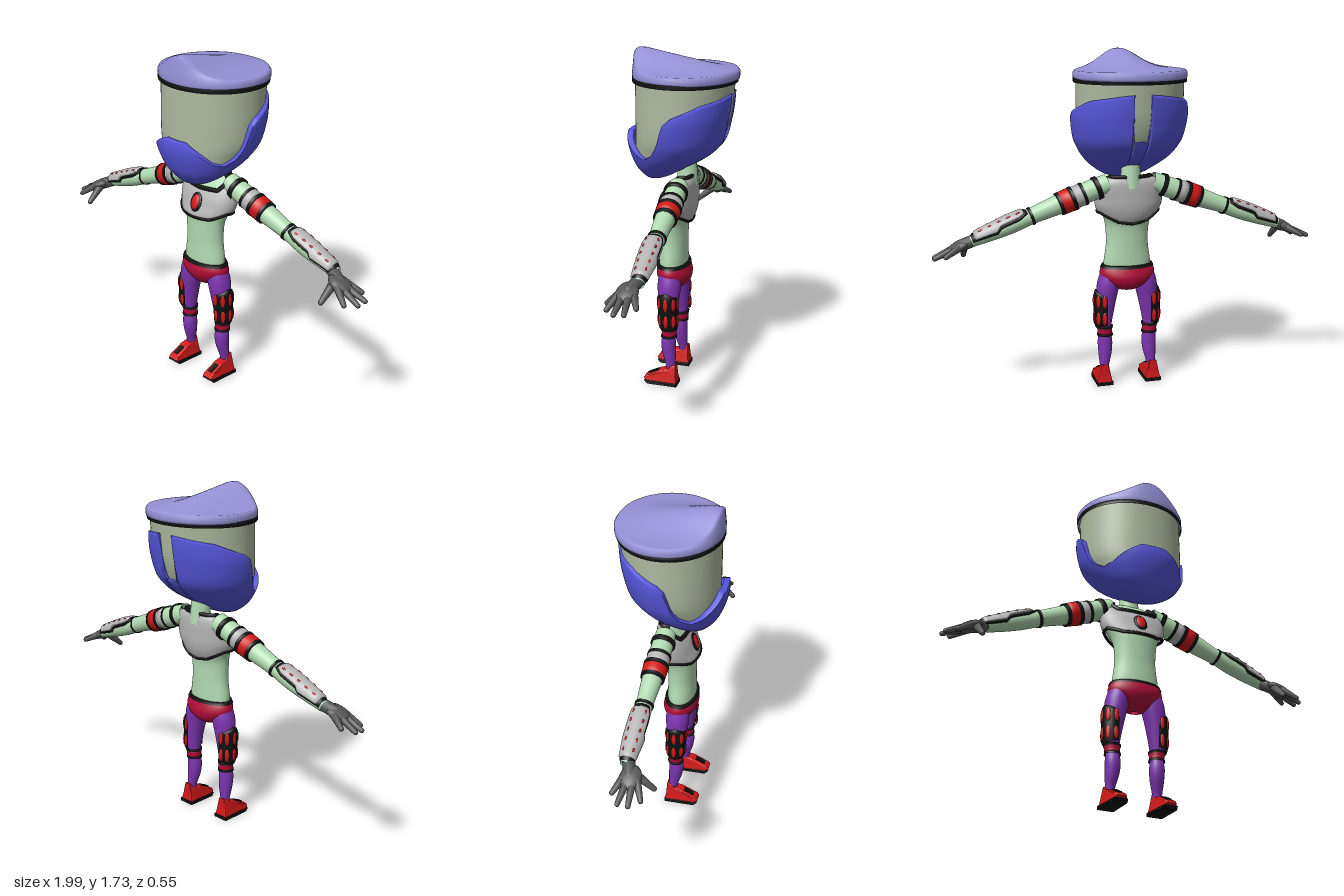
import * as THREE from 'three';

const C = { skin: 0xb2dab2, visor: 0xaeba9f, lid: 0x9591d6, blue: 0x5656dc, black: 0x101010, grey: 0xb4b4b4,
  red: 0xd01818, crimson: 0xb00d38, purple: 0x7c34b0, glove: 0x565656 };
const rad = Math.PI / 180;

function mesh(parent, name, geometry, color) {
  const m = new THREE.Mesh(geometry, new THREE.MeshStandardMaterial({ color, side: THREE.DoubleSide }));
  m.name = name;
  parent.add(m);
  return m;
}

// Smooth interpolation of table rows [t, ...values]
function sample(table, t) {
  const n = table.length - 1;
  if (t <= table[0][0]) return table[0].slice(1);
  if (t >= table[n][0]) return table[n].slice(1);
  let i = 0;
  while (table[i + 1][0] < t) i++;
  const p = table[i], q = table[i + 1], h = q[0] - p[0], u = (t - p[0]) / h;
  const slope = (k, c) => {
    const a = table[Math.max(k - 1, 0)], b = table[Math.min(k + 1, n)];
    return (b[c] - a[c]) / (b[0] - a[0]);
  };
  return p.slice(1).map((v, k) => {
    const c = k + 1;
    return v * (1 + 2 * u) * (1 - u) ** 2 + q[c] * u * u * (3 - 2 * u)
      + h * (u * (1 - u) ** 2 * slope(i, c) + u * u * (u - 1) * slope(i + 1, c));
  });
}

function linear(table, t) {
  let i = 0;
  while (i < table.length - 2 && table[i + 1][0] < t) i++;
  const [a, b] = [table[i], table[i + 1]];
  return THREE.MathUtils.lerp(a[1], b[1], THREE.MathUtils.clamp((t - a[0]) / (b[0] - a[0]), 0, 1));
}

// Grid surface: columns run around, rows run upward
function surface(point, n, m, closed) {
  const pos = [], index = [], cols = closed ? n : n + 1;
  for (let j = 0; j <= m; j++) for (let i = 0; i < cols; i++) pos.push(...point(i / n, j / m, j));
  for (let j = 0; j < m; j++) for (let i = 0; i < n; i++) {
    const k = (i + 1) % cols, a = j * cols + i, b = j * cols + k;
    index.push(a, b, b + cols, a, b + cols, a + cols);
  }
  const g = new THREE.BufferGeometry();
  g.setAttribute('position', new THREE.Float32BufferAttribute(pos, 3));
  g.setIndex(index);
  g.computeVertexNormals();
  return g;
}

// Point on a body of sections [y, zFront, zBack, halfWidth, centreX]; angle 0 is the front, 90 is +x
function on(sections, deg, y, grow = 0) {
  const [zf, zb, w, cx = 0] = sample(sections, y), a = deg * rad;
  return [cx + (w + grow) * Math.sin(a), y, (zf + zb) / 2 + ((zf - zb) / 2 + grow) * Math.cos(a)];
}

// Shell over the sections between two heights, which may vary with the angle
function shell(sections, bottom, top, { grow = 0, from = 0, to = 360, n = 48, m = 20, lip = 0 } = {}) {
  const f = (v, a) => (typeof v === 'function' ? v(a) : v);
  const rows = m + (lip ? 1 : 0);
  return surface((u, v, j) => {
    const a = from + (to - from) * u, y0 = f(bottom, a), y1 = f(top, a);
    return on(sections, a, y0 + (y1 - y0) * Math.min(j / m, 1), j > m ? grow - lip : grow);
  }, n, rows, to - from === 360);
}

// Round cord along the edge of a shell
function cord(sections, height, r, grow = 0) {
  const pts = [];
  for (let a = 0; a < 360; a += 5) pts.push(new THREE.Vector3(...on(sections, a, height(a), grow)));
  return new THREE.TubeGeometry(new THREE.CatmullRomCurve3(pts, true), 120, r, 6, true);
}

// Tapered limb with a round tip
function limb(parent, name, p, q, r0, r1, color) {
  const a = new THREE.Vector3(...p), d = new THREE.Vector3(...q).sub(a), L = d.length();
  const pts = [new THREE.Vector2(0, -r0 * 0.5), new THREE.Vector2(r0, 0)];
  for (let i = 0; i <= 5; i++) pts.push(new THREE.Vector2(r1 * Math.cos(i * 18 * rad), L + r1 * Math.sin(i * 18 * rad)));
  const m = mesh(parent, name, new THREE.LatheGeometry(pts, 14), color);
  m.position.copy(a);
  m.quaternion.setFromUnitVectors(new THREE.Vector3(0, 1, 0), d.normalize());
  return m;
}

// Flattened stud lying on a surface and facing the given angle
function stud(parent, name, pos, deg, size, color) {
  const m = mesh(parent, name, new THREE.SphereGeometry(1, 14, 10), color);
  m.position.set(...pos);
  m.rotation.y = deg * rad;
  m.scale.set(...size);
  return m;
}

function buildHelmet(root) {
  const g = new THREE.Group();
  g.name = 'helmet';
  root.add(g);
  const visor = [[1.18, 0.2, -0.04, 0.16], [1.2, 0.23, -0.1, 0.205], [1.25, 0.235, -0.165, 0.238], [1.3, 0.235, -0.2, 0.26],
    [1.4, 0.235, -0.232, 0.27], [1.5, 0.235, -0.245, 0.27], [1.6, 0.235, -0.255, 0.27]];
  const bowl = [[1.075, 0.142, 0.138, 0.002], [1.085, 0.175, 0.1, 0.055], [1.1, 0.195, 0.06, 0.1], [1.15, 0.235, -0.03, 0.175],
    [1.2, 0.257, -0.12, 0.225], [1.25, 0.272, -0.18, 0.258], [1.3, 0.277, -0.215, 0.28], [1.4, 0.262, -0.24, 0.297],
    [1.46, 0.25, -0.25, 0.293], [1.53, 0.24, -0.256, 0.28]];
  const edge = [[0, 1.325], [14, 1.325], [36, 1.27], [50, 1.235], [66, 1.22], [77, 1.25], [82, 1.3], [85, 1.41], [92, 1.44],
    [125, 1.5], [160, 1.525], [171, 1.53], [172.5, 1.3], [180, 1.3]];
  mesh(g, 'visor', shell(visor, 1.18, 1.6, { n: 64 }), C.visor);
  mesh(g, 'bowl', shell(bowl, 1.075, (a) => linear(edge, a > 180 ? 360 - a : a), { n: 240, m: 30, lip: 0.03 }), C.blue);
  mesh(g, 'lidSeal', shell(visor, 1.578, 1.6, { grow: 0.014, m: 2, lip: 0.02 }), C.black);

  // Lid rising to a peak near the front
  const rim = [[0.9, 1.59], [0.99, 1.594], [1, 1.605], [1, 1.625]];
  mesh(g, 'lid', surface((u, v, j) => {
    const a = u * 360 * rad;
    const k = j < 4 ? rim[j][0] : 0.97 * (1 - (j - 4) / 20);
    const x = 0.285 * k * Math.sin(a), z = -0.013 + 0.262 * k * Math.cos(a);
    const peak = 0.095 * Math.exp(-((x / 0.13) ** 2)) * THREE.MathUtils.clamp((z + 0.27) / 0.46, 0, 1);
    const roll = j === 4 ? 0.9 : 1;
    return [x, j < 4 ? rim[j][1] : 1.636 + peak * roll, z];
  }, 72, 24, true), C.lid);
}

function buildBody(root) {
  const torso = [[0.6, 0.12, -0.02, 0.12], [0.65, 0.122, -0.02, 0.123], [0.75, 0.12, -0.02, 0.11], [0.85, 0.122, -0.025, 0.115],
    [0.9, 0.122, -0.045, 0.13], [0.95, 0.108, -0.058, 0.155], [1.0, 0.09, -0.06, 0.162], [1.05, 0.06, -0.06, 0.158],
    [1.09, 0.03, -0.05, 0.12], [1.11, 0, -0.035, 0.03]];
  const vest = [[0.85, 0.13, -0.035, 0.12], [0.9, 0.137, -0.06, 0.148], [0.95, 0.12, -0.07, 0.172], [1.0, 0.102, -0.071, 0.177],
    [1.05, 0.073, -0.07, 0.172], [1.085, 0.045, -0.065, 0.15], [1.11, 0.015, -0.05, 0.09]];
  const pelvis = [[0.5, 0.06, 0.03, 0.02], [0.51, 0.09, 0, 0.055], [0.54, 0.118, -0.033, 0.105], [0.575, 0.134, -0.042, 0.138],
    [0.605, 0.135, -0.036, 0.144], [0.64, 0.126, -0.024, 0.129]];
  mesh(root, 'torso', shell(torso, 0.6, 1.11, { m: 36 }), C.skin);
  mesh(root, 'neck', new THREE.CylinderGeometry(0.042, 0.055, 0.18, 20), C.skin).position.set(0, 1.14, -0.02);
  mesh(root, 'pelvis', shell(pelvis, 0.5, 0.64), C.crimson);
  mesh(root, 'belt', shell(pelvis, 0.625, 0.64, { grow: 0.005, m: 2, lip: 0.02 }), C.black);

  const fold = (a) => Math.abs(a > 180 ? a - 360 : a);
  const hem = (a) => linear([[0, 0.892], [40, 0.895], [75, 0.925], [110, 0.92], [150, 0.875], [180, 0.865]], fold(a));
  const neckline = (a) => linear([[0, 1.035], [35, 1.04], [55, 1.085], [70, 1.105], [180, 1.105]], fold(a));
  mesh(root, 'vest', shell(vest, hem, neckline, { n: 72, lip: 0.02 }), C.grey);
  mesh(root, 'vestHem', cord(vest, hem, 0.008), C.black);
  mesh(root, 'vestNeckline', cord(vest, neckline, 0.011), C.black);

  // Chest emblem plate
  const badge = new THREE.Group();
  badge.name = 'chestBadge';
  badge.position.set(0, 0.965, 0.115);
  badge.rotation.x = -20 * rad;
  root.add(badge);
  stud(badge, 'badgeFrame', [0, 0, 0], 0, [0.037, 0.05, 0.01], C.black);
  stud(badge, 'badgeFace', [0, 0, 0.004], 0, [0.026, 0.039, 0.01], C.red);
}

function buildArm(side) {
  // Built along local y; local -x is the upper side
  const arm = new THREE.Group();
  arm.name = 'arm';
  arm.position.set(0.17, 1.05, -0.005);
  arm.rotation.z = -110.2 * rad;
  side.add(arm);
  const s = [[-0.06, 0.05], [0.05, 0.053], [0.2, 0.05], [0.36, 0.041], [0.45, 0.044], [0.55, 0.04], [0.68, 0.028]]
    .map(([y, r]) => [y, r, -r, r]);
  mesh(arm, 'armSkin', shell(s, -0.06, 0.68, { n: 28 }), C.skin);
  const bands = [['armhole', -0.012, 0.012, 0.008, C.black], ['cuffEdge', 0.07, 0.085, 0.006, C.black],
    ['greyBand', 0.085, 0.128, 0.004, C.grey], ['bandEdge', 0.126, 0.146, 0.01, C.black], ['redBand', 0.146, 0.195, 0.009, C.red],
    ['bandEdge', 0.195, 0.212, 0.009, C.black], ['elbowLine', 0.352, 0.366, 0.005, C.black]];
  for (const [name, a, b, grow, color] of bands) mesh(arm, name, shell(s, a, b, { grow, n: 28, m: 2, lip: 0.015 }), color);

  // Forearm guard, widening in steps toward the wrist
  const guard = (extra, grow) => surface((u, v) => {
    const y = 0.385 - extra + (0.275 + 2 * extra) * v;
    const half = linear([[0.37, 38], [0.42, 62], [0.52, 66], [0.545, 92], [0.66, 85]], y) + extra * 1100;
    const p = on(s, -90 + half * (2 * u - 1), y, grow * (u === 0 || u === 1 || v === 0 || v === 1 ? 0.1 : 1));
    return p;
  }, 24, 24, false);
  mesh(arm, 'guardEdge', guard(0.012, 0.007), C.black);
  mesh(arm, 'forearmGuard', guard(0, 0.013), C.grey);
  for (const a of [-122, -58]) for (let i = 0; i < 5; i++) {
    const y = 0.42 + i * 0.05;
    stud(arm, 'guardLight', on(s, a, y, 0.013), a, [0.005, 0.011, 0.003], C.red);
  }

  // Gloved hand with spread fingers
  const hand = new THREE.Group();
  hand.name = 'hand';
  side.add(hand);
  limb(hand, 'cuff', [0.775, 0.827, -0.003], [0.85, 0.793, 0.025], 0.03, 0.03, C.glove);
  const palm = mesh(hand, 'palm', new THREE.SphereGeometry(1, 20, 14), C.glove);
  palm.position.set(0.858, 0.79, 0.03);
  palm.rotation.z = -24 * rad;
  palm.scale.set(0.065, 0.026, 0.052);
  const fingers = [[-0.002, 0.935, 0.75, -0.035], [0.02, 0.985, 0.737, 0.005], [0.043, 0.982, 0.732, 0.054], [0.062, 0.938, 0.733, 0.1]];
  for (const [z, ...tip] of fingers) limb(hand, 'finger', [0.865, 0.787, z], tip, 0.02, 0.012, C.glove);
  limb(hand, 'thumb', [0.835, 0.795, 0.045], [0.83, 0.72, 0.132], 0.023, 0.013, C.glove);
}

function buildLeg(side) {
  const round = (rows) => rows.map(([y, x, z, r]) => [y, z + r, z - r, r, x]);
  const leg = round([[0.05, 0.128, 0.032, 0.022], [0.1, 0.126, 0.036, 0.024], [0.17, 0.12, 0.046, 0.035], [0.23, 0.119, 0.05, 0.038],
    [0.28, 0.12, 0.046, 0.032], [0.33, 0.122, 0.047, 0.038], [0.45, 0.112, 0.05, 0.052], [0.54, 0.098, 0.05, 0.06], [0.6, 0.085, 0.05, 0.055]]);
  mesh(side, 'leg', shell(leg, 0.05, 0.6, { n: 28, m: 36 }), C.purple);
  mesh(side, 'kneeBand', shell(leg, 0.272, 0.31, { grow: 0.006, n: 28, m: 3, lip: 0.01 }), C.crimson);
  for (const y of [0.262, 0.302]) mesh(side, 'kneeLine', shell(leg, y, y + 0.012, { grow: 0.008, n: 28, m: 2, lip: 0.012 }), C.black);

  // Outer thigh guard with rows of inset plates
  const pad = round([[0.3, 0.124, 0.048, 0.042], [0.33, 0.125, 0.048, 0.05], [0.42, 0.125, 0.05, 0.053], [0.485, 0.123, 0.05, 0.053], [0.51, 0.118, 0.05, 0.049]]);
  mesh(side, 'thighGuard', shell(pad, (a) => 0.305 + 0.02 * Math.abs(a - 85) / 105, (a) => 0.51 - 0.035 * Math.abs(a - 85) / 105,
    { from: -20, to: 190, n: 30, m: 12, lip: 0.012 }), C.black);
  for (const a of [0, 45, 90, 135, 172]) for (const y of [0.452, 0.362])
    stud(side, 'guardPlate', on(pad, a, y, -0.001), a, [0.012, 0.034, 0.006], C.red);

  // Shoe: side profile extruded across, narrowed toward the ankle
  const shoePart = (name, pts, width, bevel, color, taper) => {
    const shape = new THREE.Shape(pts.map((p) => new THREE.Vector2(...p)));
    const g = new THREE.ExtrudeGeometry(shape, { depth: width, steps: 1, bevelEnabled: true, bevelSize: bevel,
      bevelThickness: bevel, bevelOffset: -bevel, bevelSegments: 2 });
    g.translate(0, 0, -width / 2);
    g.rotateY(-90 * rad);
    const p = g.attributes.position;
    for (let i = 0; i < p.count; i++) {
      const toe = 1 - 0.25 * Math.max(0, (p.getZ(i) - 0.13) / 0.045);
      p.setX(i, p.getX(i) * toe * (1 - taper * p.getY(i)));
    }
    g.computeVertexNormals();
    mesh(side, name, g, color).position.x = 0.13;
  };
  shoePart('shoe', [[-0.003, 0.01], [0.16, 0.01], [0.175, 0.028], [0.165, 0.042], [0.085, 0.08], [0.05, 0.088], [0.032, 0.108],
    [0.006, 0.112], [0.003, 0.05]], 0.07, 0.008, C.red, 4.8);
  shoePart('sole', [[-0.004, 0], [0.155, 0], [0.172, 0.016], [0.165, 0.02], [-0.004, 0.018]], 0.082, 0.003, C.black, 0);
  const patch = mesh(side, 'instepPatch', new THREE.BoxGeometry(0.024, 0.008, 0.055), C.black);
  patch.position.set(0.13, 0.063, 0.124);
  patch.rotation.x = 25.4 * rad;
}

export function createModel() {
  const root = new THREE.Group();
  root.name = 'figure';
  buildHelmet(root);
  buildBody(root);
  for (const [name, sign] of [['leftLimbs', 1], ['rightLimbs', -1]]) {
    const side = new THREE.Group();
    side.name = name;
    side.scale.x = sign;
    buildArm(side);
    buildLeg(side);
    root.add(side);
  }
  return root;
}
